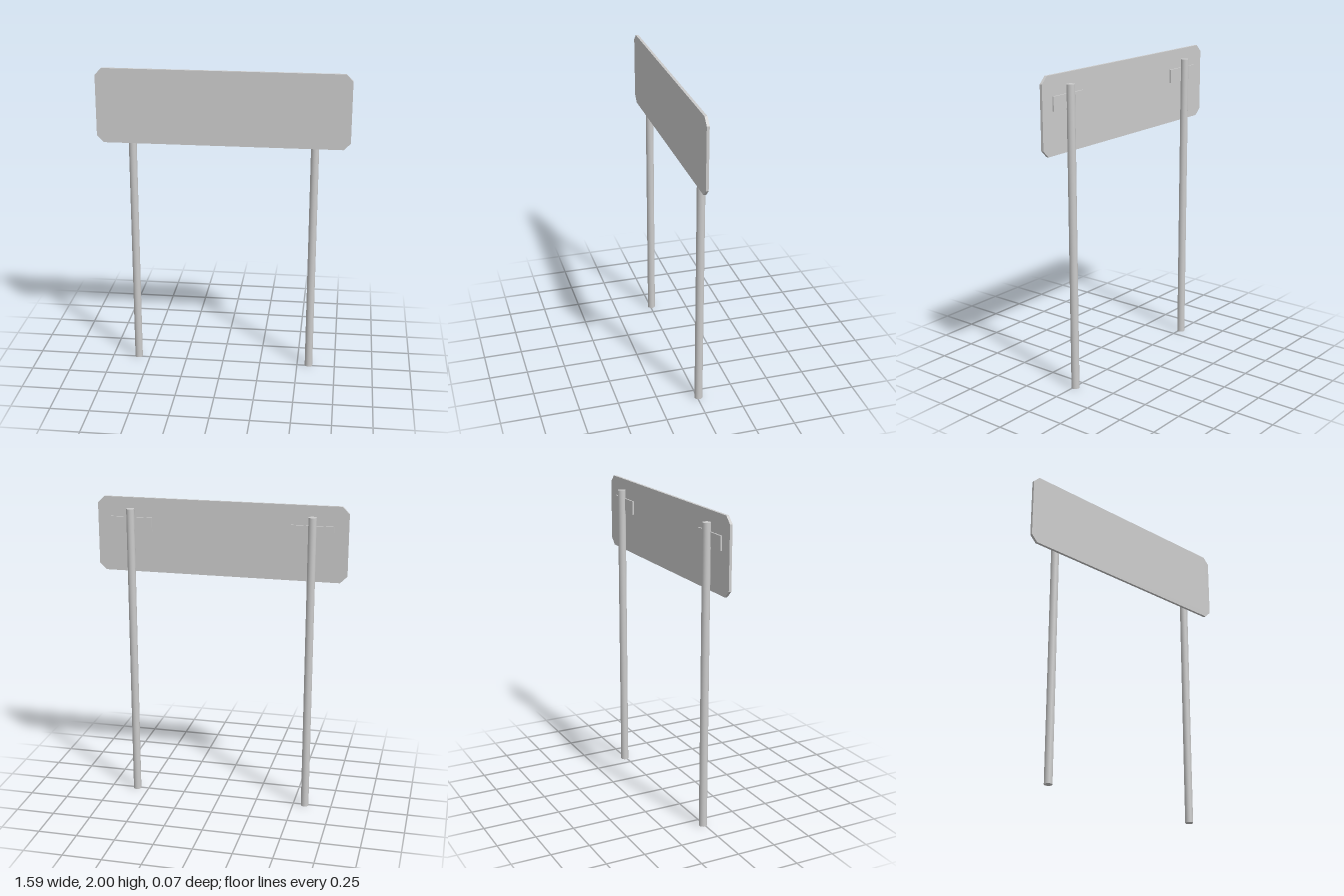
import * as THREE from 'three';

export function createModel() {
  const group = new THREE.Group();
  const grey = new THREE.MeshStandardMaterial({ color: 0xcccccc });

  const add = (name, geometry, x, y, z) => {
    const mesh = new THREE.Mesh(geometry, grey);
    mesh.name = name;
    mesh.position.set(x, y, z);
    group.add(mesh);
  };

  // Sign panel: a thin plate with cut corners
  const w = 0.797, h = 0.238, c = 0.043, thickness = 0.017;
  const outline = new THREE.Shape([
    [-w + c, -h], [w - c, -h], [w, -h + c], [w, h - c],
    [w - c, h], [-w + c, h], [-w, h - c], [-w, -h + c],
  ].map(([x, y]) => new THREE.Vector2(x, y)));
  const panel = new THREE.ExtrudeGeometry(outline, { depth: thickness, bevelEnabled: false });
  add('signPanel', panel, 0, 2 - h, 0.017);

  // Round posts and the mounting plates that hold the panel
  const postHeight = 1.932, postRadius = 0.0255;
  const post = new THREE.CylinderGeometry(postRadius, postRadius, postHeight, 16);
  const plate = new THREE.BoxGeometry(0.268, 0.088, 0.01);
  for (const [side, s] of [['left', 1], ['right', -1]]) {
    add(side + 'Post', post, s * 0.577, postHeight / 2, -0.0085);
    add(side + 'MountingPlate', plate, s * 0.577, 1.832, 0.012);
  }
  return group;
}
